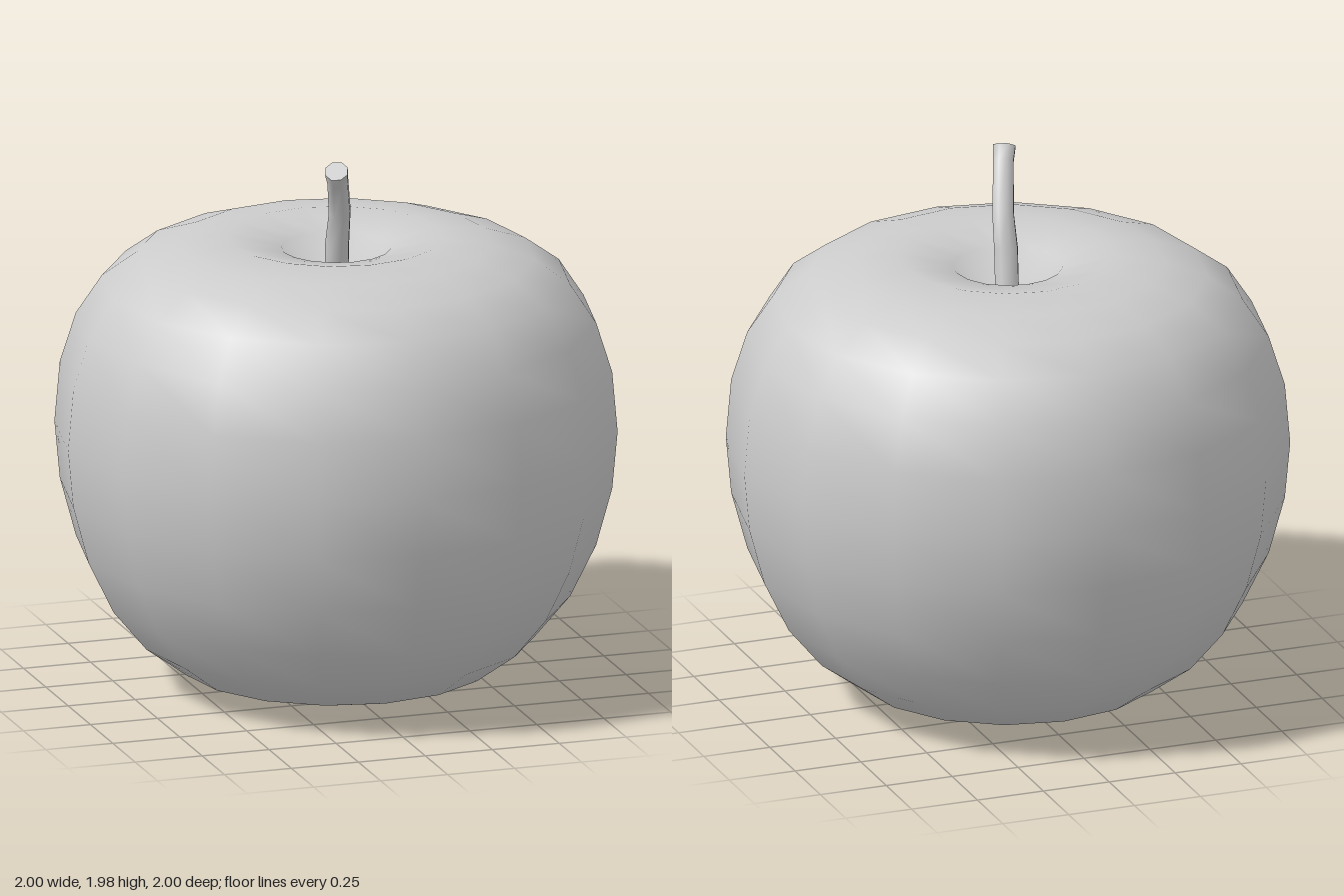
import * as THREE from 'three';
import { mergeVertices, toCreasedNormals } from 'three/addons/utils/BufferGeometryUtils.js';

const material = new THREE.MeshStandardMaterial({ color: 0xcccccc });

// Join seam and pole vertices so that shading runs on smoothly
function weld(geometry) {
  geometry.deleteAttribute('uv');
  geometry.deleteAttribute('normal');
  const welded = mergeVertices(geometry, 1e-4);
  welded.computeVertexNormals();
  return welded;
}

function addMesh(group, name, geometry) {
  const mesh = new THREE.Mesh(geometry, material);
  mesh.name = name;
  group.add(mesh);
}

// Round body: sphere-spaced rings with their heights pressed in at both ends
function bodyGeometry() {
  const heights = [0.02, 0, 0.02, 0.07, 0.18, 0.33, 0.52, 0.73, 0.94,
    1.16, 1.34, 1.48, 1.57, 1.62, 1.64, 1.6, 1.42];
  const profile = heights.map((y, i) =>
    new THREE.Vector2(i % 16 ? Math.sin(Math.PI * i / 16) : 0, y));
  return weld(new THREE.LatheGeometry(profile, 16));
}

// Bent stalk: each ring of a cylinder is moved onto a point of the path
function stemGeometry() {
  const path = [
    [0, 1.37, 0], [-0.018, 1.64, 0.067], [-0.018, 1.76, 0.095],
    [-0.065, 1.91, 0.215], [-0.08, 1.955, 0.245],
  ].map((p) => new THREE.Vector3(...p));
  const radii = [0.045, 0.045, 0.041, 0.039, 0.043];
  const last = path.length - 1;
  const up = new THREE.Vector3(0, 1, 0);
  const turns = path.map((p, i) => {
    const before = p.clone().sub(path[Math.max(i - 1, 0)]).normalize();
    const after = path[Math.min(i + 1, last)].clone().sub(p).normalize();
    return new THREE.Quaternion().setFromUnitVectors(up, before.add(after).normalize());
  });

  const geometry = new THREE.CylinderGeometry(1, 1, last, 8, last);
  const pos = geometry.attributes.position;
  const v = new THREE.Vector3();
  for (let i = 0; i < pos.count; i++) {
    v.fromBufferAttribute(pos, i);
    const row = Math.round(v.y + last / 2);
    v.setY(0).multiplyScalar(radii[row]).applyQuaternion(turns[row]).add(path[row]);
    pos.setXYZ(i, v.x, v.y, v.z);
  }
  return toCreasedNormals(weld(geometry), Math.PI / 3);
}

export function createModel() {
  const group = new THREE.Group();
  group.name = 'apple';
  addMesh(group, 'body', bodyGeometry());
  addMesh(group, 'stem', stemGeometry());
  return group;
}
